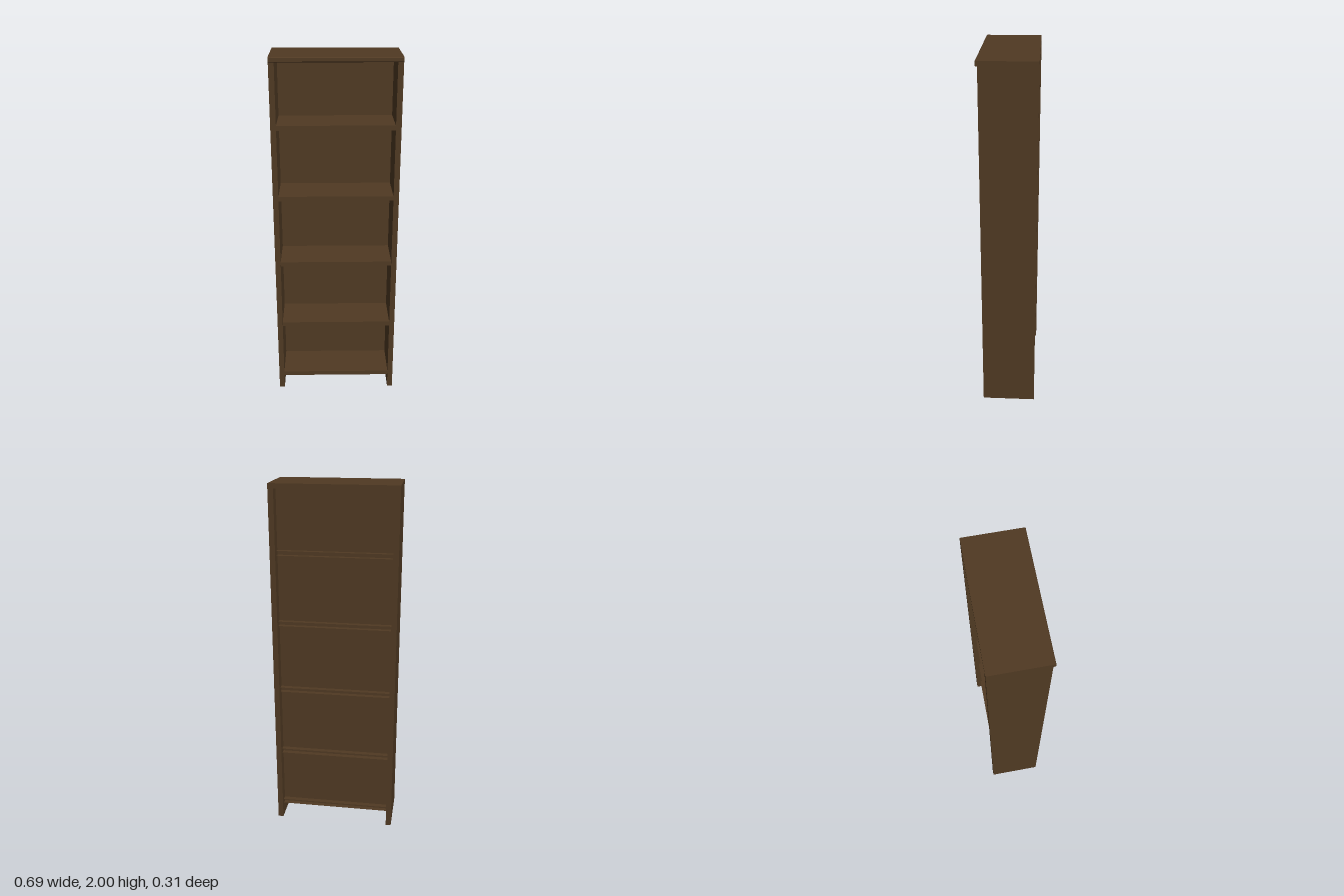
import * as THREE from 'three';

export function createModel() {
  const group = new THREE.Group();
  group.name = 'bookcase';
  const wood = new THREE.MeshStandardMaterial({ color: 0x503a23, side: THREE.DoubleSide });
  wood.name = 'dark brown wood';

  const add = (name, geometry) => {
    const mesh = new THREE.Mesh(geometry, wood);
    mesh.name = name;
    group.add(mesh);
    return mesh;
  };
  // Board given by its limits on each axis
  const board = (name, [x0, x1], [y0, y1], [z0, z1]) =>
    add(name, new THREE.BoxGeometry(x1 - x0, y1 - y0, z1 - z0))
      .position.set((x0 + x1) / 2, (y0 + y1) / 2, (z0 + z1) / 2);

  const W = 0.345, IN = 0.315, BACK = -0.155, TOP = 1.974;
  const panelBack = -0.1, panelFront = -0.088;

  // Upright sides, standing on the floor
  board('leftSide', [IN, W], [0, TOP], [BACK, 0.143]);
  board('rightSide', [-W, -IN], [0, TOP], [BACK, 0.143]);

  // Top board with softened front edges, overhanging the sides
  const r = 0.004, front = 0.155;
  const profile = new THREE.Shape();
  profile.moveTo(BACK, TOP);
  profile.lineTo(front - r, TOP);
  profile.lineTo(front, TOP + r);
  profile.lineTo(front, 2 - r);
  profile.lineTo(front - r, 2);
  profile.lineTo(BACK, 2);
  profile.closePath();
  const topGeometry = new THREE.ExtrudeGeometry(profile, { depth: 2 * W, bevelEnabled: false });
  topGeometry.rotateY(-Math.PI / 2).translate(W, 0, 0);
  add('topBoard', topGeometry);

  // Inset back panel
  board('backPanel', [-IN, IN], [0.082, TOP], [panelBack, panelFront]);

  // Shelves: solid in front, with a pair of thin ledges behind the panel
  const thickness = 0.026, ledge = 0.028;
  [0.08, 0.427, 0.822, 1.22, 1.617].forEach((y, i) => {
    board(`shelf${i + 1}`, [-IN, IN], [y, y + thickness], [panelBack, 0.136]);
    for (const [name, h] of [['lower', y], ['upper', y + thickness]]) {
      const strip = new THREE.PlaneGeometry(2 * IN, ledge).rotateX(-Math.PI / 2);
      add(`${name}Ledge${i + 1}`, strip).position.set(0, h, panelBack - ledge / 2);
    }
  });

  return group;
}
